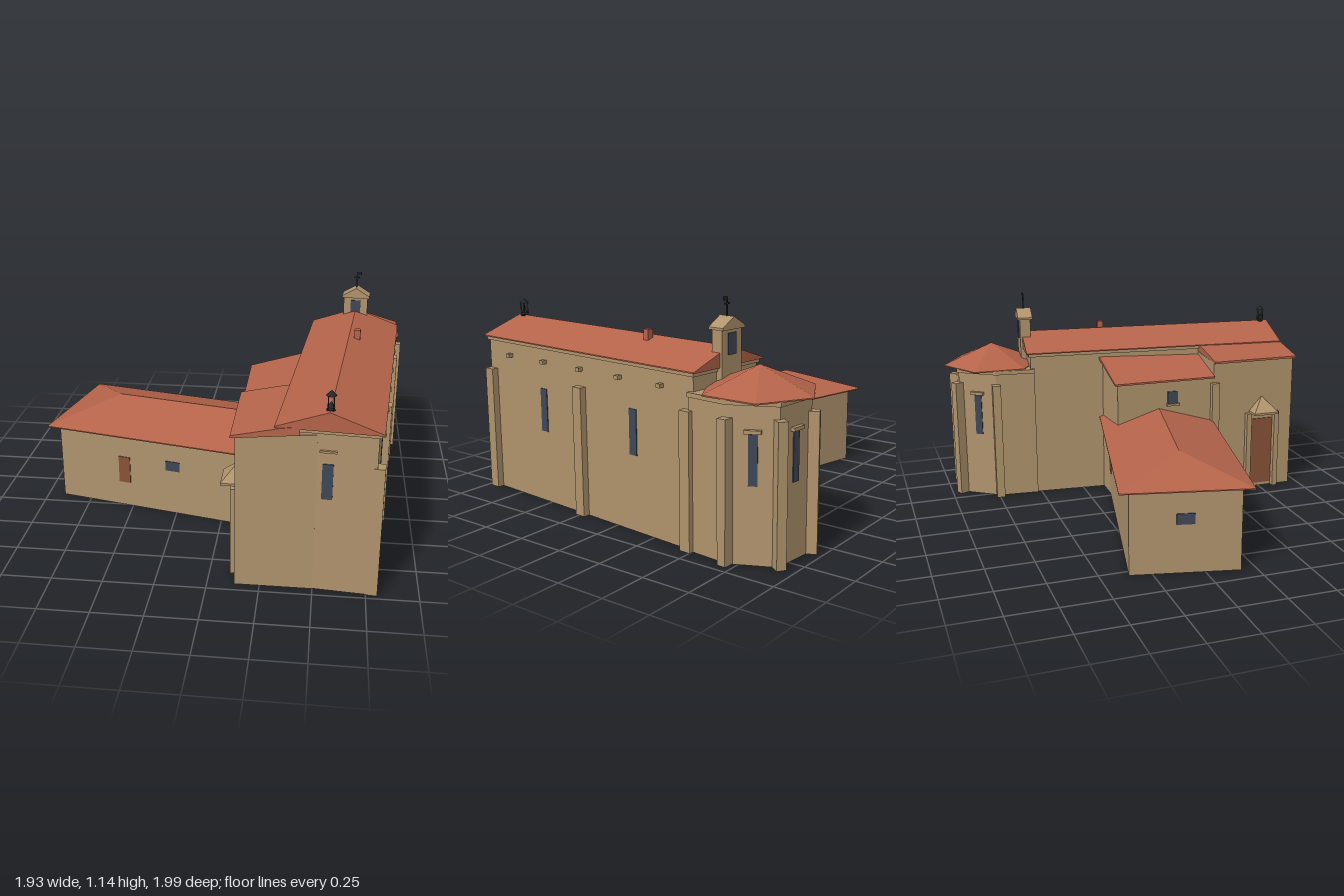
import * as THREE from 'three';
import { ConvexGeometry } from 'three/addons/geometries/ConvexGeometry.js';

export function createModel() {
  const mat = (name, color) => {
    const m = new THREE.MeshStandardMaterial({ color });
    m.name = name;
    return m;
  };
  const wall = mat('sandstone', 0xb0946d);
  const roof = mat('terracotta', 0xb5644a);
  const glass = mat('dark glass', 0x3f4757);
  const wood = mat('brown wood', 0x885337);
  const iron = mat('black iron', 0x24282a);

  const root = new THREE.Group();
  root.name = 'church';
  const section = (name, x, z, turn) => {
    const g = new THREE.Group();
    g.name = name;
    g.position.set(x, 0, z);
    g.rotation.y = turn;
    root.add(g);
    return g;
  };
  const add = (parent, name, geo, m, x = 0, y = 0, z = 0, turn = 0) => {
    const mesh = new THREE.Mesh(geo, m);
    mesh.name = name;
    mesh.position.set(x, y, z);
    mesh.rotation.y = turn;
    parent.add(mesh);
    return mesh;
  };
  // box given by its bottom and top heights
  const box = (parent, name, m, x, z, w, d, y0, y1, turn = 0) =>
    add(parent, name, new THREE.BoxGeometry(w, y1 - y0, d), m, x, (y0 + y1) / 2, z, turn);
  // convex solid through a few corner points
  const hull = (parent, name, m, pts) =>
    add(parent, name, new ConvexGeometry(pts.map(p => new THREE.Vector3(...p))), m);
  // x-y profile swept between two z values
  const sweep = (parent, name, m, profile, z0, z1) =>
    hull(parent, name, m, profile.flatMap(([x, y]) => [[x, y, z0], [x, y, z1]]));

  // ---- nave ----
  const TURN = -0.085;
  const nave = section('nave', 0.613, 0.2145, TURN);
  const nz = z => (z - 0.2335) / 0.996;
  box(nave, 'naveWalls', wall, 0, 0, 0.44, 1.48, 0, 0.815);
  box(nave, 'naveCornice', wall, 0, 0, 0.462, 1.5, 0.812, 0.832);
  sweep(nave, 'naveRoof', roof, [[-0.243, 0.83], [0.243, 0.83], [0.243, 0.836], [0, 0.922], [-0.243, 0.836]], -0.7625, 0.7625);
  for (const z of [0.945, 0.24, -0.475]) box(nave, 'buttress', wall, 0.23, nz(z), 0.05, 0.06, 0, 0.66);
  for (const z of [0.53, -0.12]) box(nave, 'sideWindow', glass, 0.22, nz(z), 0.008, 0.048, 0.38, 0.605);
  for (const z of [0.79, 0.515, 0.24, -0.035, -0.31]) box(nave, 'beamEnd', wall, 0.23, nz(z), 0.03, 0.026, 0.737, 0.756);
  box(nave, 'frontWindow', glass, 0, 0.74, 0.05, 0.008, 0.485, 0.662);
  box(nave, 'frontLintel', wall, 0, 0.743, 0.078, 0.016, 0.72, 0.73);
  box(nave, 'chimney', roof, 0.043, -0.285, 0.032, 0.032, 0.86, 0.955);

  // ---- bell gable on the rear of the ridge ----
  box(nave, 'bellGable', wall, 0, -0.745, 0.135, 0.06, 0.74, 1.0);
  sweep(nave, 'bellGableRoof', wall, [[-0.077, 1.0], [0.077, 1.0], [0.077, 1.012], [0, 1.058], [-0.077, 1.012]], -0.787, -0.703);
  for (const s of [1, -1]) box(nave, 'bellOpening', glass, 0, -0.745 + s * 0.03, 0.055, 0.008, 0.885, 0.985);
  box(nave, 'vanePole', iron, 0, -0.745, 0.007, 0.007, 1.05, 1.142);
  box(nave, 'vaneBar', iron, 0, -0.745, 0.032, 0.006, 1.108, 1.116);
  box(nave, 'vaneFlag', iron, 0.012, -0.745, 0.024, 0.006, 1.128, 1.144);

  // ---- small lantern at the front of the ridge ----
  const lantern = new THREE.Group();
  lantern.name = 'lantern';
  lantern.position.set(0, 0.91, 0.72);
  nave.add(lantern);
  add(lantern, 'lanternBase', new THREE.CylinderGeometry(0.02, 0.02, 0.012, 8), iron, 0, 0.006, 0);
  add(lantern, 'lanternBell', new THREE.ConeGeometry(0.018, 0.028, 8), iron, 0, 0.036, 0);
  add(lantern, 'lanternCap', new THREE.ConeGeometry(0.025, 0.026, 8), iron, 0, 0.09, 0);
  for (const sx of [1, -1]) for (const sz of [1, -1])
    box(lantern, 'lanternPost', iron, sx * 0.013, sz * 0.013, 0.003, 0.003, 0.01, 0.08);

  // ---- apse ----
  const AZ = -0.94, R = 0.23;
  const apsePlan = (r, y) => [
    [r, y, -0.72], [r, y, AZ], [r / 2, y, AZ - r * 0.866],
    [-r / 2, y, AZ - r * 0.866], [-r, y, AZ], [-r, y, -0.72]];
  hull(nave, 'apseWalls', wall, [...apsePlan(R, 0), ...apsePlan(R, 0.725)]);
  hull(nave, 'apseCornice', wall, [...apsePlan(R + 0.012, 0.722), ...apsePlan(R + 0.012, 0.744)]);
  for (let i = 0; i < 4; i++) {
    const a = i * Math.PI / 3;
    box(nave, 'apseButtress', wall, 0.24 * Math.cos(a), AZ - 0.24 * Math.sin(a), 0.055, 0.046, 0, 0.665, a);
  }
  for (let i = 0; i < 3; i++) {
    const a = Math.PI / 6 + i * Math.PI / 3, r = R * 0.866;
    const c = Math.cos(a), s = Math.sin(a);
    box(nave, 'apseWindow', glass, r * c, AZ - r * s, 0.008, 0.042, 0.365, 0.595, a);
    box(nave, 'apseLintel', wall, (r + 0.005) * c, AZ - (r + 0.005) * s, 0.03, 0.075, 0.6, 0.617, a);
  }
  const ring = [];
  for (let i = 0; i < 6; i++) {
    const a = Math.PI / 6 + i * Math.PI / 3;
    for (const y of [0.742, 0.748]) ring.push([0.693 + 0.28 * Math.cos(a), y, -0.72 + 0.28 * Math.sin(a)]);
  }
  hull(root, 'apseRoof', roof, [...ring, [0.693, 0.862, -0.72]]);

  // ---- side aisle with lean-to roof ----
  const aisle = section('aisle', 0, 0, 0);
  sweep(aisle, 'aisleWalls', wall, [[0.13, 0], [0.5, 0], [0.5, 0.79], [0.13, 0.69]], -0.125, 0.46);
  sweep(aisle, 'aisleRoof', roof, [[0.11, 0.69], [0.11, 0.7], [0.44, 0.797], [0.44, 0.78]], -0.145, 0.45);
  box(aisle, 'aisleWindow', glass, 0.128, 0.2, 0.008, 0.06, 0.56, 0.63);
  box(aisle, 'aisleWindowSill', wall, 0.122, 0.2, 0.02, 0.075, 0.548, 0.56);

  // ---- front annex ----
  const annex = section('annex', 0, 0, 0);
  sweep(annex, 'annexWalls', wall, [[0.13, 0], [0.5, 0], [0.5, 0.8], [0.13, 0.775]], 0.45, 0.95);
  sweep(annex, 'annexRoof', roof, [[0.11, 0.772], [0.11, 0.784], [0.33, 0.83], [0.42, 0.842], [0.42, 0.8]], 0.45, 0.962);
  box(annex, 'annexButtress', wall, 0.12, 0.455, 0.04, 0.045, 0, 0.66);
  for (const z of [0.67, 0.845]) box(annex, 'doorJamb', wall, 0.12, z, 0.04, 0.03, 0, 0.46);
  box(annex, 'sideDoor', wood, 0.128, 0.757, 0.008, 0.14, 0.02, 0.42);
  hull(annex, 'doorCanopy', wall, [
    [0.05, 0.46, 0.68], [0.05, 0.46, 0.83], [0.135, 0.46, 0.68], [0.135, 0.46, 0.83],
    [0.05, 0.472, 0.68], [0.05, 0.472, 0.83], [0.135, 0.472, 0.68], [0.135, 0.472, 0.83],
    [0.13, 0.555, 0.755]]);

  // ---- long hall, origin at the middle of its outer end ----
  const hall = section('hall', -0.9, -0.105, -0.214);
  const D = 0.3225, L = 1.28;
  box(hall, 'hallWalls', wall, (0.05 + L) / 2, 0, L - 0.05, 2 * D - 0.1, 0, 0.432);
  hull(hall, 'hallRoof', roof, [
    ...[0.428, 0.434].flatMap(y => [[0, y, -D], [0, y, D], [L, y, -D], [L, y, D]]),
    [0.296, 0.536, 0], [L, 0.536, 0]]);
  const front = D - 0.05;
  box(hall, 'hallDoor', wood, 0.427, front, 0.066, 0.008, 0.14, 0.292);
  box(hall, 'hallWindow', glass, 0.707, front, 0.08, 0.008, 0.252, 0.306);
  box(hall, 'hallEndWindow', glass, 0.05, 0, 0.008, 0.09, 0.25, 0.305);
  box(hall, 'hallRearDoor', wood, 1.155, -front, 0.18, 0.008, 0.15, 0.32);

  return root;
}
